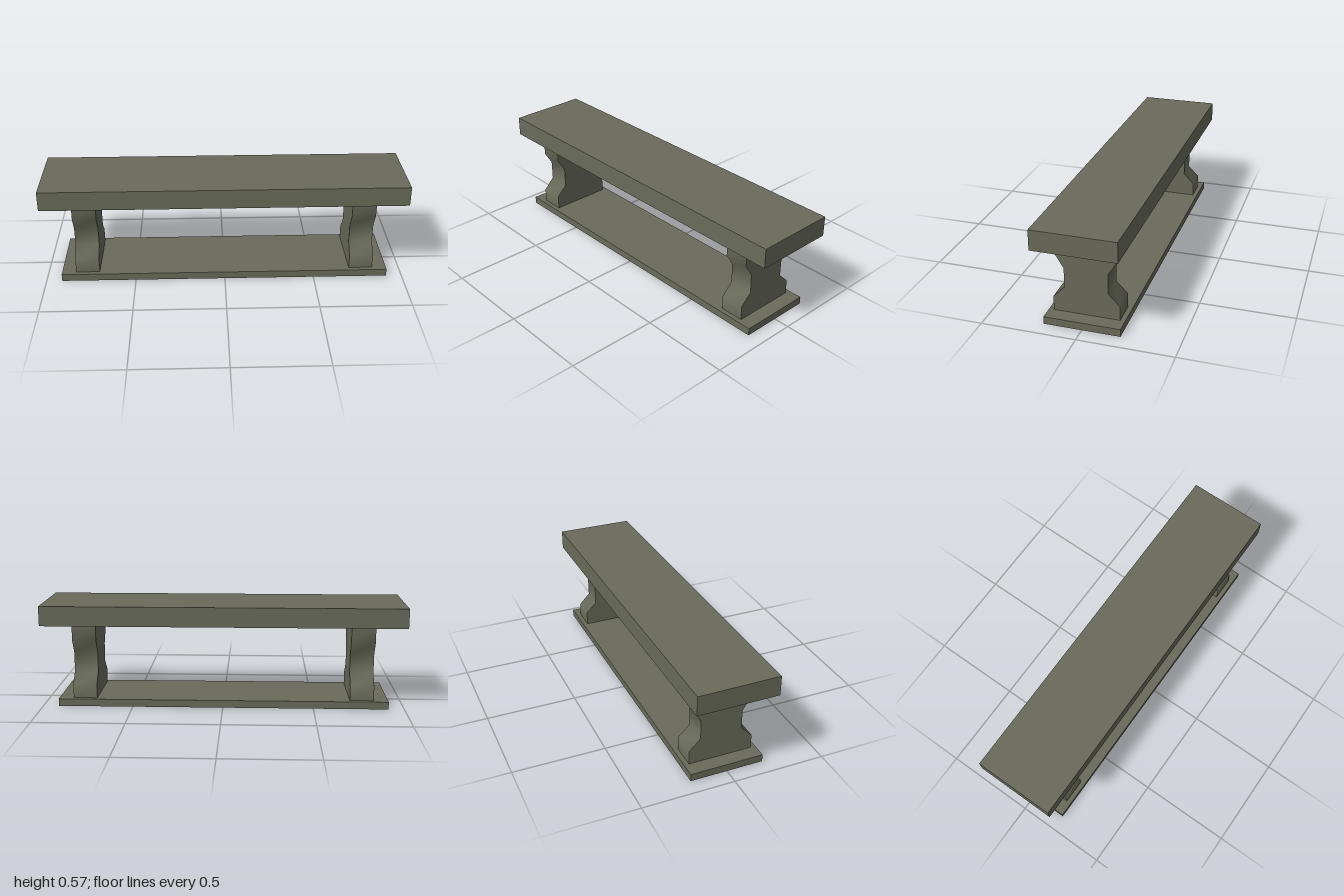
import * as THREE from 'three';
import { toCreasedNormals } from 'three/addons/utils/BufferGeometryUtils.js';

export function createModel() {
  const model = new THREE.Group();
  model.name = 'bench';
  const stone = new THREE.MeshStandardMaterial({ color: 0x696b5a });
  stone.name = 'olive stone';

  const add = (name, geometry, x, y) => {
    const mesh = new THREE.Mesh(geometry, stone);
    mesh.name = name;
    mesh.position.set(x, y, 0);
    model.add(mesh);
  };

  // Seat slab and base plate
  add('seat', new THREE.BoxGeometry(2, 0.109, 0.44), 0, 0.5115);
  add('base', new THREE.BoxGeometry(1.826, 0.041, 0.402), 0, 0.0205);

  // Waisted leg: half profile (half depth, height), mirrored front to back
  const half = [[0.175, 0.041], [0.175, 0.119], [0.114, 0.181], [0.115, 0.289], [0.16, 0.363], [0.16, 0.457]];
  const outline = [
    ...half.map(([d, y]) => new THREE.Vector2(d, y)),
    ...half.slice().reverse().map(([d, y]) => new THREE.Vector2(-d, y)),
  ];
  const width = 0.132;
  const extruded = new THREE.ExtrudeGeometry(new THREE.Shape(outline), { depth: width, bevelEnabled: false });
  extruded.translate(0, 0, -width / 2).rotateY(Math.PI / 2);
  // Soft shading along the bends, sharp at the flat sides
  const legGeometry = toCreasedNormals(extruded, 1.0);
  add('leftLeg', legGeometry, 0.768, 0);
  add('rightLeg', legGeometry, -0.768, 0);

  return model;
}
